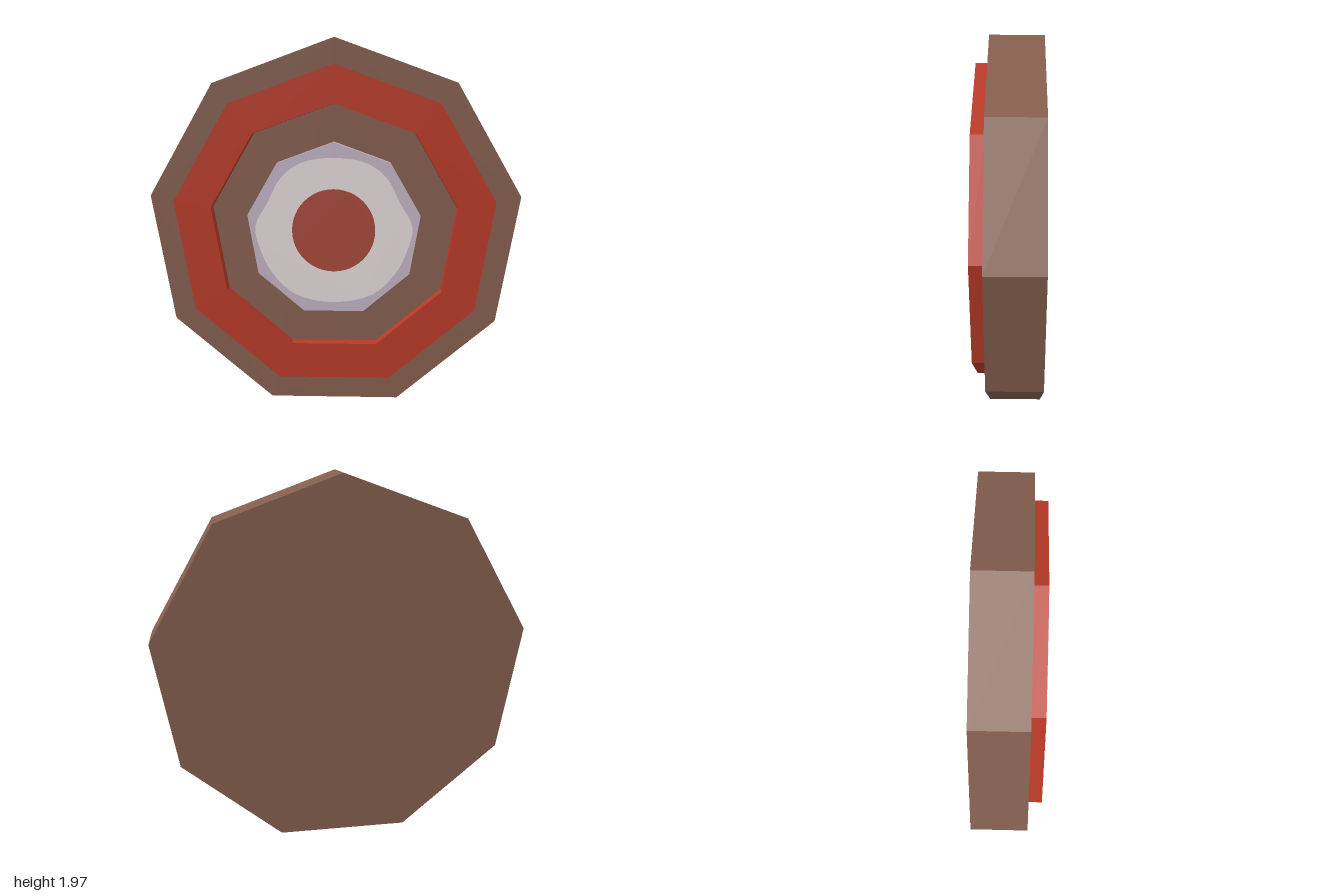
import * as THREE from 'three';

const SIDES = 9;

// Regular polygon with one corner pointing up
function polygon(radius, sides = SIDES) {
  return Array.from({ length: sides }, (_, i) => {
    const a = (i / sides) * Math.PI * 2;
    return new THREE.Vector2(-Math.sin(a) * radius, Math.cos(a) * radius);
  });
}

export function createModel() {
  const material = (name, color) => {
    const m = new THREE.MeshStandardMaterial({ color });
    m.name = name;
    return m;
  };
  const brown = material('brown wood', 0x845e4e);
  const red = material('red paint', 0xb83a27);
  const lilac = material('lilac grey', 0xc1b3c3);
  const white = material('off white', 0xe3d9d9);
  const dullRed = material('dull red', 0xa7483b);

  const group = new THREE.Group();
  group.name = 'target';

  // Extrudes an outline between two depths, with an optional hole
  function slab(name, mat, points, y, back, front, hole) {
    const shape = new THREE.Shape(points);
    if (hole) shape.holes.push(new THREE.Path(hole));
    const geometry = new THREE.ExtrudeGeometry(shape, { depth: front - back, bevelEnabled: false });
    const mesh = new THREE.Mesh(geometry, mat);
    mesh.name = name;
    mesh.position.set(0, y, back);
    group.add(mesh);
  }

  // Thick nine-sided board standing on a flat edge
  const boardRadius = 1 / Math.cos(Math.PI / 18);
  const boardY = boardRadius * Math.cos(Math.PI / SIDES);
  slab('board', brown, polygon(boardRadius), boardY, -0.185, 0.095);

  // Raised red ring and raised middle disc
  const y = 0.957;
  slab('outerRing', red, polygon(0.871), y, 0.095, 0.165, polygon(0.668));
  slab('middleDisc', lilac, polygon(0.467), y, 0.095, 0.181);

  // Hand-painted white patch: half outline mirrored and smoothed
  const half = [[0.17, 0.36], [0.28, 0.28], [0.35, 0.15], [0.417, 0.02],
    [0.39, -0.11], [0.33, -0.23], [0.21, -0.345]];
  const outline = [[0, 0.385], ...half, [0, -0.39],
    ...half.map(([px, py]) => [-px, py]).reverse()];
  const curve = new THREE.CatmullRomCurve3(
    outline.map(([px, py]) => new THREE.Vector3(px, py, 0)), true);
  const patch = curve.getPoints(64).slice(0, -1).map(p => new THREE.Vector2(p.x, p.y));
  slab('whitePatch', white, patch, y, 0.181, 0.183);

  // Painted bullseye
  slab('bullseye', dullRed, polygon(0.221, 48), y, 0.183, 0.185);

  return group;
}
